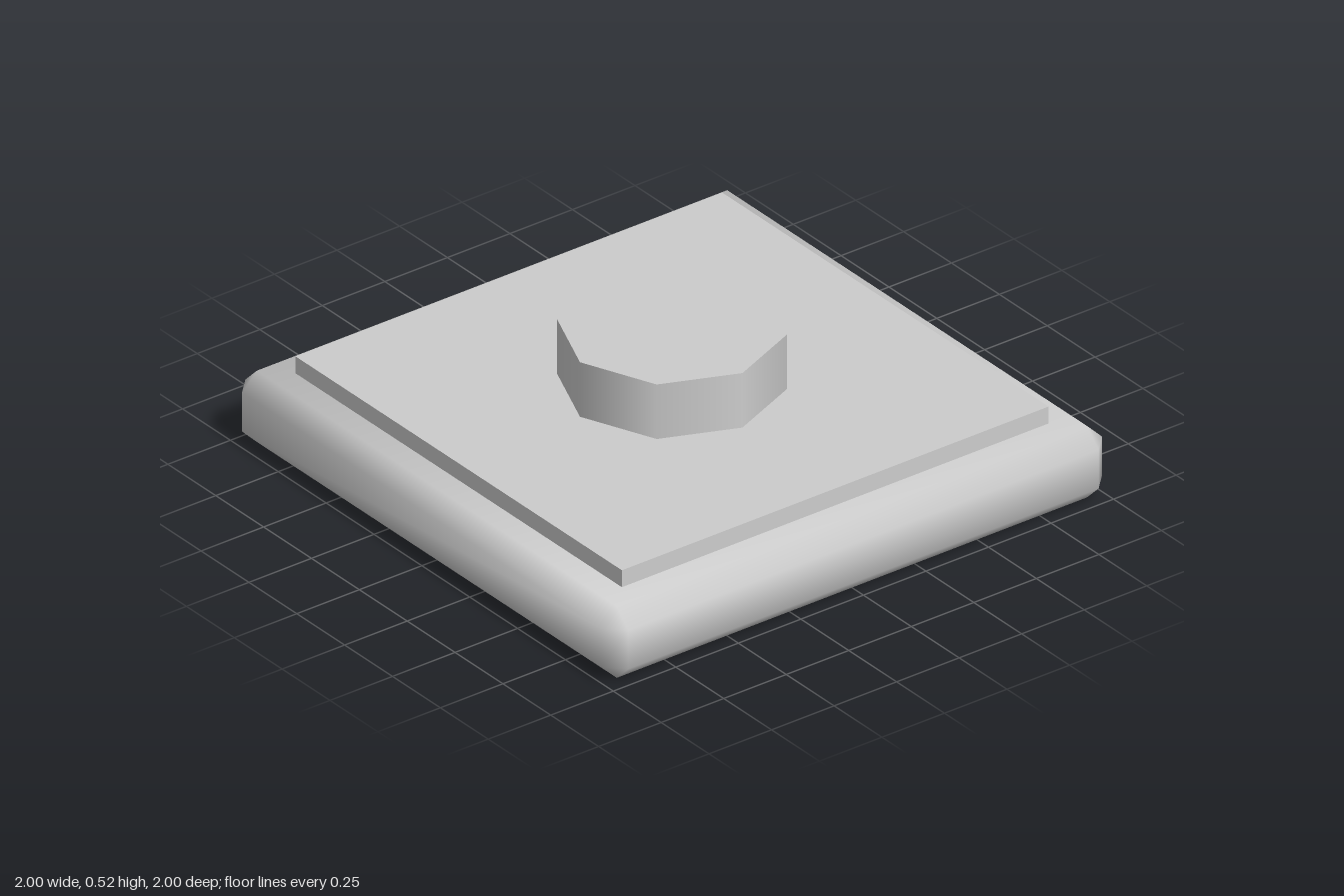
import * as THREE from 'three';
import { ConvexGeometry } from 'three/addons/geometries/ConvexGeometry.js';

// Box with bevelled edges and corners, shaded smoothly across the bevels
function bevelledBox(w, h, d, bevel) {
  const half = [w / 2, h / 2, d / 2];
  const points = [];
  for (const sx of [-1, 1]) for (const sy of [-1, 1]) for (const sz of [-1, 1]) {
    const sign = [sx, sy, sz];
    for (let axis = 0; axis < 3; axis++) {
      // each corner has three points, one lying on each adjoining face
      points.push(new THREE.Vector3(...half.map((s, i) => sign[i] * (i === axis ? s : s - bevel))));
    }
  }
  const geo = new ConvexGeometry(points);

  // Smooth normals: mostly along the point's own face, leaning out at the corner
  const pos = geo.attributes.position, nor = geo.attributes.normal;
  const n = new THREE.Vector3();
  for (let i = 0; i < pos.count; i++) {
    const p = [pos.getX(i), pos.getY(i), pos.getZ(i)];
    n.set(...p.map((c, k) => Math.sign(c) * (Math.abs(c) > half[k] - bevel / 2 ? 2.57 : 1))).normalize();
    nor.setXYZ(i, n.x, n.y, n.z);
  }
  return geo;
}

export function createModel() {
  const model = new THREE.Group();
  model.name = 'squarePedestal';

  const grey = new THREE.MeshStandardMaterial({ color: 0xcccccc });
  grey.name = 'light grey';

  const add = (name, geometry, y) => {
    const mesh = new THREE.Mesh(geometry, grey);
    mesh.name = name;
    mesh.position.y = y;
    model.add(mesh);
  };

  // Bevelled base slab
  add('base', bevelledBox(2, 0.262, 2, 0.06), 0.131);

  // Thin square plate
  add('plate', new THREE.BoxGeometry(1.706, 0.062, 1.706), 0.293);

  // Eight-sided stud with its corners on the x and z axes
  add('stud', new THREE.CylinderGeometry(0.368, 0.368, 0.2, 8), 0.424);

  return model;
}
